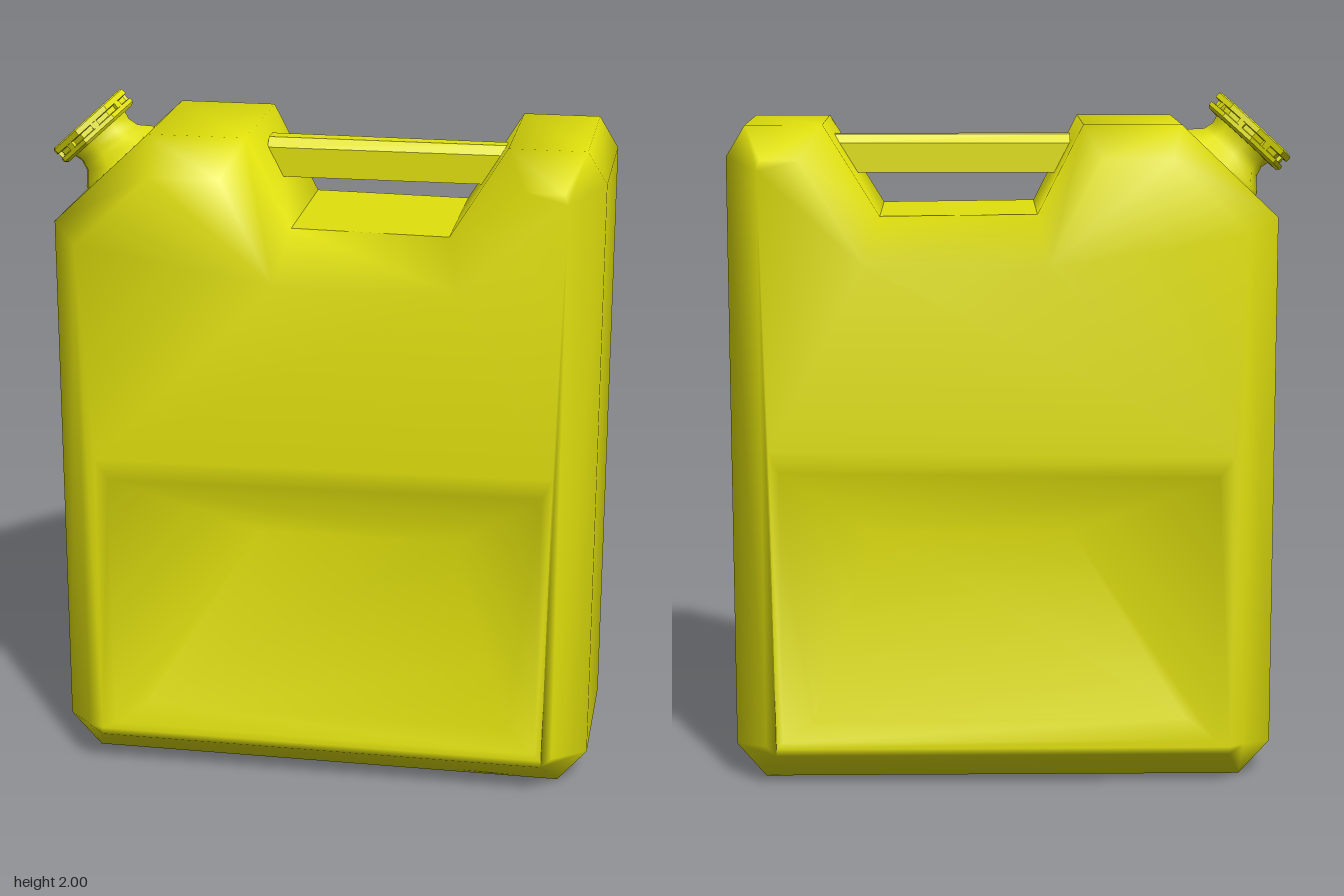
import * as THREE from 'three';

// Side outline of the can (counter-clockwise) and the smaller outline of its flat faces
const OUTER = [[-0.67, 0], [0.73, 0], [0.815, 0.1], [0.815, 1.83], [0.76, 1.92], [0.54, 1.92],
  [0.38, 1.66], [-0.07, 1.665], [-0.2, 1.92], [-0.48, 1.92], [-0.76, 1.655], [-0.76, 0.1]];
const INSET = [[-0.63, 0.1], [0.69, 0.1], [0.72, 0.13], [0.72, 1.8], [0.71, 1.83], [0.6, 1.83],
  [0.42, 1.53], [-0.1, 1.53], [-0.25, 1.83], [-0.45, 1.83], [-0.67, 1.62], [-0.67, 0.13]];
// Sloping grip recess: flat surround, rim and floor
const SURROUND = [[-0.63, 0.12], [0.69, 0.12], [0.7, 1.0], [-0.63, 0.98]];
const RIM = [[-0.59, 0.14], [0.67, 0.14], [0.67, 0.94], [-0.59, 0.92]];
const FLOOR = [[-0.5, 0.2, 0.32], [0.58, 0.2, 0.32], [0.41, 0.74, 0.22], [-0.17, 0.74, 0.22]];
const HALF = 0.35, EDGE = 0.22, NOTCH = 6;

function indexedGeometry(positions, index) {
  const g = new THREE.BufferGeometry();
  g.setAttribute('position', new THREE.Float32BufferAttribute(positions, 3));
  g.setIndex(index);
  g.computeVertexNormals();
  return g;
}

function bodyGeometry() {
  const pos = [], index = [];
  const addLoop = (pts, z) => {
    const start = pos.length / 3;
    pts.forEach(p => pos.push(p[0], p[1], z ?? p[2]));
    return start;
  };
  // Quads between two loops; flip reverses the facing
  const bridge = (a, b, n, flip, skip = -1) => {
    for (let i = 0; i < n; i++) {
      if (i === skip) continue;
      const j = (i + 1) % n;
      if (flip) index.push(a + i, b + j, b + i, a + i, a + j, b + j);
      else index.push(a + i, b + i, b + j, a + i, b + j, a + j);
    }
  };
  const outer = {};
  for (const s of [1, -1]) {
    const back = s < 0;
    const inset = addLoop(INSET, s * HALF);
    outer[s] = addLoop(OUTER, s * EDGE);
    bridge(inset, outer[s], OUTER.length, back);

    // Flat face around the recess
    const surround = addLoop(SURROUND, s * HALF);
    const toV = p => new THREE.Vector2(p[0], p[1]);
    const hole = SURROUND.map(toV).reverse();
    const n = INSET.length;
    const id = k => k < n ? inset + k : surround + 3 - (k - n);
    for (const [a, b, c] of THREE.ShapeUtils.triangulateShape(INSET.map(toV), [hole])) {
      index.push(id(a), id(back ? c : b), id(back ? b : c));
    }

    // Recess walls and floor
    const rim = addLoop(RIM, s * HALF);
    const floor = addLoop(FLOOR.map(p => [p[0], p[1], s * p[2]]));
    bridge(rim, surround, 4, back);
    bridge(floor, rim, 4, back);
    if (back) index.push(floor, floor + 2, floor + 1, floor, floor + 3, floor + 2);
    else index.push(floor, floor + 1, floor + 2, floor, floor + 2, floor + 3);
  }
  bridge(outer[1], outer[-1], OUTER.length, false, NOTCH);
  return indexedGeometry(pos, index);
}

// Flat floor under the handle, kept apart for crisp edges
function notchGeometry() {
  const a = OUTER[NOTCH], b = OUTER[NOTCH + 1];
  return indexedGeometry([...a, EDGE, ...a, -EDGE, ...b, -EDGE, ...b, EDGE], [0, 1, 2, 0, 2, 3]);
}

function handleGeometry() {
  const section = new THREE.Shape([[-0.05, 1.77], [0.05, 1.77], [0.05, 1.855], [0.025, 1.88],
    [-0.025, 1.88], [-0.05, 1.855]].map(p => new THREE.Vector2(...p)));
  const g = new THREE.ExtrudeGeometry(section, { depth: 0.685, bevelEnabled: false });
  g.rotateY(Math.PI / 2);
  g.translate(-0.17, 0, 0);
  // Slight taper toward the rear end
  const p = g.attributes.position;
  for (let i = 0; i < p.count; i++) if (p.getX(i) > 0) p.setZ(i, p.getZ(i) * 0.82);
  g.computeVertexNormals();
  return g;
}

function lathe(points, flat) {
  let g = new THREE.LatheGeometry(points.map(p => new THREE.Vector2(...p)), 8);
  if (flat) {
    g = g.toNonIndexed();
    g.computeVertexNormals();
  }
  return g;
}

export function createModel() {
  const model = new THREE.Group();
  model.name = 'jerryCan';
  const yellow = new THREE.MeshStandardMaterial({ color: 0xe0e00c });
  yellow.name = 'yellowPlastic';
  const add = (name, geometry, parent = model) => {
    const mesh = new THREE.Mesh(geometry, yellow);
    mesh.name = name;
    parent.add(mesh);
    return mesh;
  };

  add('body', bodyGeometry());
  add('notchFloor', notchGeometry());
  add('handle', handleGeometry());

  // Spout, square to the sloping shoulder; its origin is the centre of the lip
  const spout = new THREE.Group();
  spout.name = 'spout';
  spout.position.set(-0.715, 1.905, 0);
  spout.rotation.z = Math.atan2(0.67, 0.74);
  model.add(spout);
  add('neck', lathe([[0.145, -0.16], [0.14, -0.145], [0.105, -0.11], [0.097, -0.08], [0.105, -0.05]]), spout);
  add('rim', lathe([[0.1, -0.058], [0.132, -0.058], [0.142, -0.05], [0.142, -0.038], [0.128, -0.036],
    [0.128, -0.022], [0.142, -0.02], [0.142, -0.004], [0.136, 0], [0.122, 0]], true), spout);
  add('mouth', lathe([[0.122, 0], [0.085, -0.045], [0.045, -0.08], [0, -0.09]]), spout);

  // Small ribs across the rim groove
  for (let i = 0; i < 8; i++) {
    const a = (i + 0.5) * Math.PI / 4;
    const rib = add('rimRib', new THREE.BoxGeometry(0.022, 0.024, 0.016), spout);
    rib.position.set(Math.sin(a) * 0.121, -0.029, Math.cos(a) * 0.121);
    rib.rotation.y = a;
  }
  return model;
}
